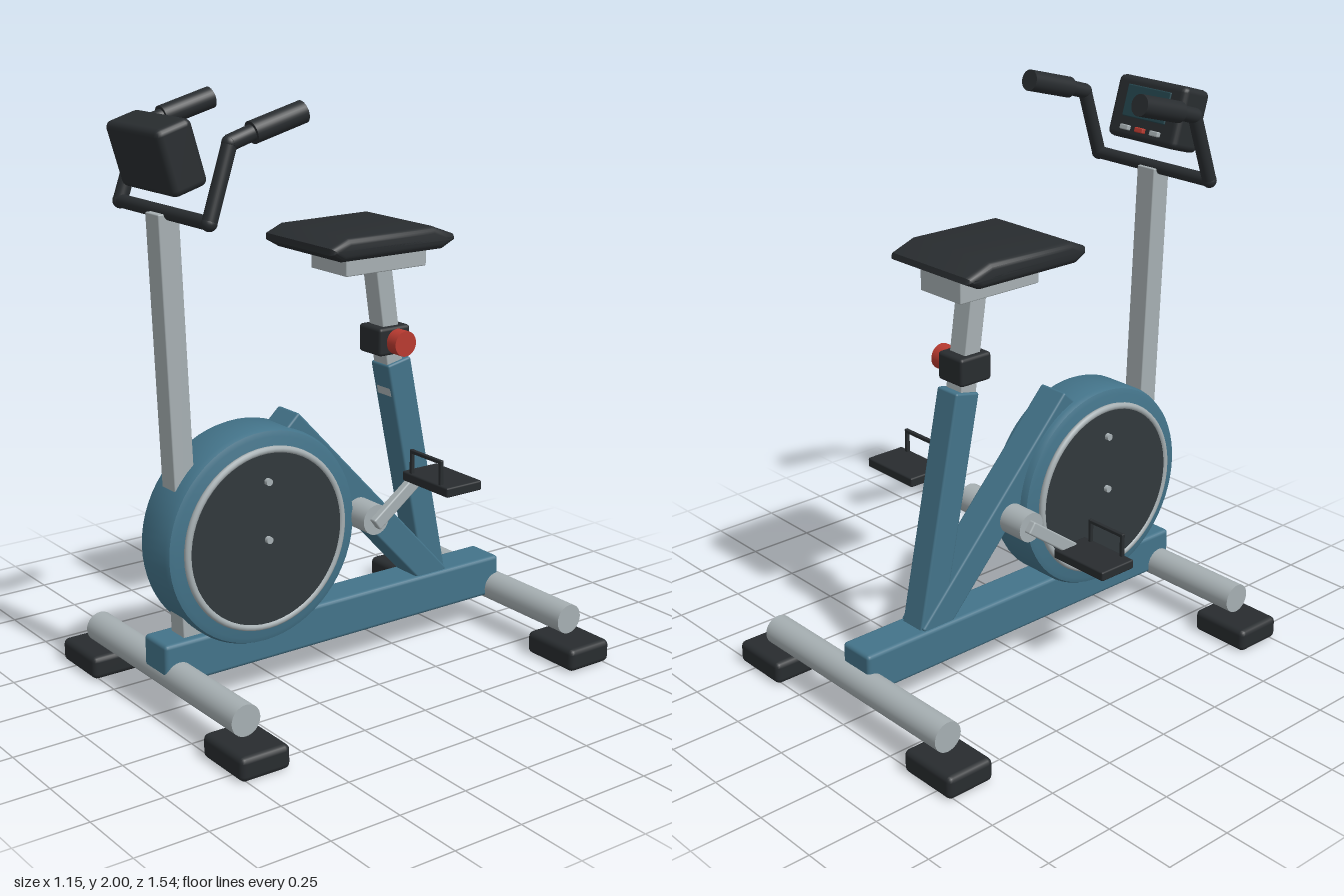
import * as THREE from 'three';
import { RoundedBoxGeometry } from 'three/addons/geometries/RoundedBoxGeometry.js';
import { toCreasedNormals } from 'three/addons/utils/BufferGeometryUtils.js';

const mat = (color) => new THREE.MeshStandardMaterial({ color });
const blue = mat(0x437389), dark = mat(0x282c2f), panel = mat(0x31383c),
  metal = mat(0xa6afb2), red = mat(0xb83a30), glass = mat(0x24454d);
const V = (x, y, z) => new THREE.Vector3(x, y, z);
const UP = V(0, 1, 0);

export function createModel() {
  const model = new THREE.Group();

  const add = (name, geo, material, pos = V(0, 0, 0), parent = model) => {
    const mesh = new THREE.Mesh(geo, material);
    mesh.name = name;
    mesh.position.copy(pos);
    parent.add(mesh);
    return mesh;
  };
  const box = (name, material, pos, w, h, d, r = 0.01, parent = model) =>
    add(name, new RoundedBoxGeometry(w, h, d, 2, r), material, pos, parent);
  // straight member between two points: rectangular or round
  const aim = (mesh, a, b) => {
    mesh.quaternion.setFromUnitVectors(UP, b.clone().sub(a).normalize());
    return mesh;
  };
  const beam = (name, material, a, b, w, d, r = 0.008) =>
    aim(box(name, material, a.clone().lerp(b, 0.5), w, a.distanceTo(b), d, r), a, b);
  const rod = (name, material, a, b, r, parent = model) =>
    aim(add(name, new THREE.CylinderGeometry(r, r, a.distanceTo(b), 32), material,
      a.clone().lerp(b, 0.5), parent), a, b);

  // Base: long beam, two cross tubes, four feet
  box('baseBeam', blue, V(0, 0.188, 0.02), 0.14, 0.146, 1.42, 0.014);
  for (const z of [0.68, -0.68]) {
    rod('crossTube', metal, V(-0.46, 0.142, z), V(0.46, 0.142, z), 0.053);
    for (const s of [-1, 1]) box('foot', dark, V(s * 0.46, 0.041, z), 0.23, 0.082, 0.182, 0.02);
  }

  // Flywheel housing with side covers
  const wheel = new THREE.Group();
  wheel.name = 'flywheel';
  wheel.position.set(0, 0.56, 0.355);
  model.add(wheel);
  const profile = [[0, -0.092], [0.345, -0.092], [0.363, -0.086], [0.37, -0.07],
    [0.37, 0.07], [0.363, 0.086], [0.345, 0.092], [0, 0.092]].map((p) => new THREE.Vector2(...p));
  add('wheelHousing', toCreasedNormals(new THREE.LatheGeometry(profile, 64), 0.6), blue,
    V(0, 0, 0), wheel).rotation.z = Math.PI / 2;
  for (const s of [-1, 1]) {
    rod('sideCover', panel, V(s * 0.085, 0, 0), V(s * 0.108, 0, 0), 0.302, wheel);
    add('coverRing', new THREE.TorusGeometry(0.304, 0.012, 10, 64), metal,
      V(s * 0.102, 0, 0), wheel).rotation.y = Math.PI / 2;
    for (const y of [0, 0.2]) rod('coverBolt', metal, V(s * 0.1, y, 0), V(s * 0.123, y, 0), 0.012, wheel);
  }

  // Frame members
  beam('mast', metal, V(0, 0.2, 0.603), V(0, 1.66, 0.661), 0.08, 0.075, 0.004);
  beam('diagonalStrut', blue, V(0, 0.23, -0.412), V(0, 0.918, 0.232), 0.12, 0.104);
  beam('seatTube', blue, V(0, 0.22, -0.408), V(0, 1.062, -0.234), 0.1, 0.1);
  beam('seatPost', metal, V(0, 0.94, -0.24), V(0, 1.43, -0.168), 0.078, 0.066, 0.004);

  // Height clamp and knob
  box('clamp', dark, V(0, 1.14, -0.206), 0.122, 0.098, 0.13, 0.012);
  rod('knobShaft', dark, V(0.05, 1.14, -0.206), V(0.08, 1.14, -0.206), 0.02);
  rod('knob', red, V(0.07, 1.14, -0.206), V(0.118, 1.14, -0.206), 0.044);

  // Seat: side profile swept across, with rounded sides
  box('seatBracket', metal, V(0, 1.435, -0.137), 0.2, 0.08, 0.335, 0.004);
  const outline = [[-0.155, 1.515], [-0.09, 1.543], [0.26, 1.546], [0.35, 1.512],
    [0.355, 1.492], [0.3, 1.466], [-0.11, 1.466], [-0.155, 1.492]];
  const seatShape = new THREE.Shape(outline.map((p) => new THREE.Vector2(...p)));
  const seatGeo = new THREE.ExtrudeGeometry(seatShape, {
    depth: 0.35, bevelEnabled: true, bevelThickness: 0.025, bevelSize: 0.022,
    bevelOffset: -0.022, bevelSegments: 4,
  });
  seatGeo.translate(0, 0, -0.175).rotateY(Math.PI / 2); // shape x becomes -z
  add('seat', toCreasedNormals(seatGeo, 0.6), dark);

  // Cranks and pedals, half a turn apart
  rod('crankHub', metal, V(-0.16, 0.557, -0.053), V(0.16, 0.557, -0.053), 0.053);
  for (const s of [-1, 1]) {
    const end = V(s * 0.17, 0.557 + s * 0.136, -0.055 - s * 0.185);
    beam('crankArm', metal, V(s * 0.17, 0.557 - s * 0.012, -0.055 + s * 0.016), end, 0.03, 0.046, 0.006);
    const pedal = new THREE.Group();
    pedal.name = 'pedal';
    pedal.position.set(0, end.y, end.z);
    model.add(pedal);
    rod('pedalAxle', dark, V(s * 0.16, 0, 0), V(s * 0.25, 0, 0), 0.015, pedal);
    box('pedalPlate', dark, V(s * 0.277, 0, 0), 0.24, 0.034, 0.15, 0.006, pedal);
    for (const x of [0.197, 0.35])
      box('toeCagePost', dark, V(s * x, 0.056, 0.064), 0.013, 0.09, 0.014, 0.003, pedal);
    box('toeCageBar', dark, V(s * 0.2735, 0.094, 0.064), 0.166, 0.013, 0.014, 0.003, pedal);
  }

  // Handlebar with grips
  rod('handlebar', dark, V(-0.265, 1.66, 0.657), V(0.265, 1.66, 0.657), 0.022);
  for (const s of [-1, 1]) {
    const low = V(s * 0.265, 1.66, 0.657), bend = V(s * 0.26, 1.892, 0.578);
    const grip = V(s * 0.26, 1.916, 0.5), tip = V(s * 0.26, 1.966, 0.315);
    rod('handlebarUpright', dark, low, bend, 0.024);
    rod('handlebarReach', dark, bend, grip, 0.026);
    for (const p of [low, bend]) add('handlebarBend', new THREE.SphereGeometry(0.025, 20, 14), dark, p);
    rod('grip', dark, grip, tip, 0.036);
  }

  // Console: tilted toward the rider, screen and buttons at the back
  const console_ = new THREE.Group();
  console_.name = 'console';
  console_.position.set(0, 1.842, 0.677);
  console_.rotation.x = 0.29;
  model.add(console_);
  box('consoleBody', dark, V(0, 0, 0), 0.32, 0.215, 0.13, 0.022, console_);
  box('screen', glass, V(0, 0.022, -0.064), 0.2, 0.11, 0.012, 0.004, console_);
  [-0.07, 0, 0.07].forEach((x, i) =>
    box('consoleButton', i === 1 ? red : metal, V(x, -0.07, -0.069), 0.04, 0.018, 0.022, 0.004, console_));

  return model;
}
